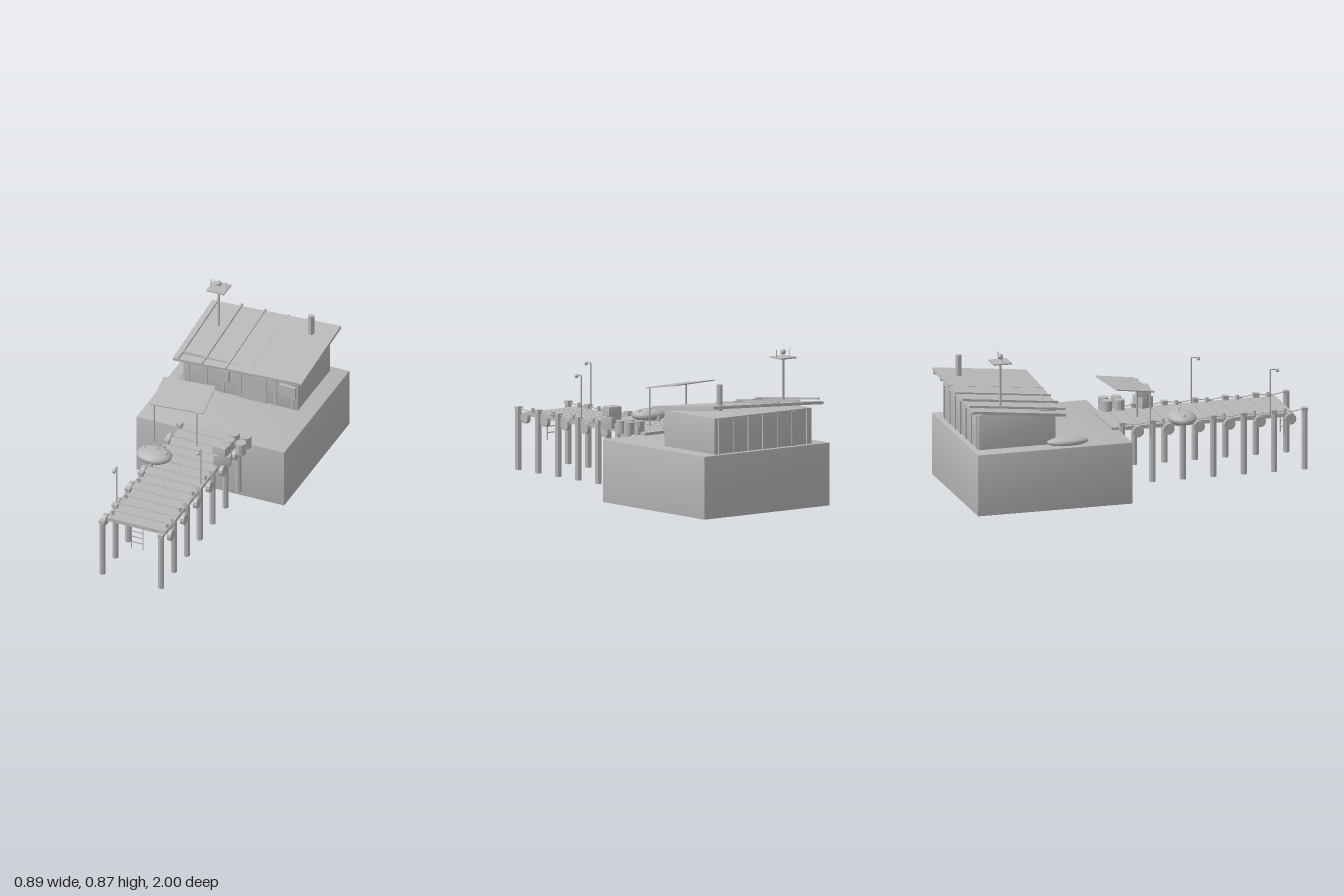
import * as THREE from 'three';

export function createModel() {
  const model = new THREE.Group();
  model.name = 'pierHouse';
  const grey = new THREE.MeshStandardMaterial({ color: 0xb8b8b8 });
  grey.name = 'plain grey';

  function add(name, geo, x, y, z, parent = model) {
    const m = new THREE.Mesh(geo, grey);
    m.name = name;
    m.position.set(x, y, z);
    parent.add(m);
    return m;
  }
  const box = (name, w, h, d, x, y, z, parent) => add(name, new THREE.BoxGeometry(w, h, d), x, y, z, parent);
  // box whose normals lean slightly outwards at the corners, for softly shaded faces
  function softBox(...args) {
    const mesh = box(...args);
    const { position, normal } = mesh.geometry.attributes;
    const n = new THREE.Vector3();
    for (let i = 0; i < normal.count; i++) {
      const corner = new THREE.Vector3().fromBufferAttribute(position, i);
      corner.set(Math.sign(corner.x), Math.sign(corner.y), Math.sign(corner.z));
      n.fromBufferAttribute(normal, i).addScaledVector(corner, 0.15).normalize();
      normal.setXYZ(i, n.x, n.y, n.z);
    }
    return mesh;
  }
  // faceted cylinder
  function prism(r, h, sides) {
    const geo = new THREE.CylinderGeometry(r, r, h, sides).toNonIndexed();
    geo.computeVertexNormals();
    return geo;
  }
  // upright prism standing between two heights
  const post = (name, r, y0, y1, x, z, sides = 8, parent = model) =>
    add(name, prism(r, y1 - y0, sides), x, (y0 + y1) / 2, z, parent);
  const ball = (name, r, x, y, z, parent) => add(name, new THREE.SphereGeometry(r, 14, 10), x, y, z, parent);
  const group = (name) => {
    const g = new THREE.Group();
    g.name = name;
    model.add(g);
    return g;
  };

  // Quay block
  softBox('quay', 0.89, 0.35, 0.89, 0, 0.175, -0.535);

  // House with battens, door and shutters
  const house = group('house');
  softBox('walls', 0.69, 0.2, 0.44, 0, 0.45, -0.725, house);
  for (let i = 0; i < 7; i++) {
    const x = -0.312 + i * 0.104;
    for (const z of [-0.503, -0.947]) box('batten', 0.013, 0.19, 0.01, x, 0.445, z, house);
  }
  box('door', 0.15, 0.16, 0.008, 0.085, 0.43, -0.5, house);
  for (const x of [-0.115, 0.288]) box('shutter', 0.098, 0.07, 0.022, x, 0.47, -0.495, house);

  // Lean-to roof, tilted both ways
  const roof = box('roof', 0.78, 0.016, 0.542, 0, 0.571, -0.725);
  roof.rotation.set(0.105, 0, 0.051);
  for (let i = 0; i < 6; i++) {
    const rib = box('roofRib', 0.01, 0.012, 0.555, -0.35 + i * 0.14, 0.5775, -0.725);
    rib.rotation.x = 0.105;
  }
  box('roofRail', 0.35, 0.01, 0.01, -0.18, 0.551, -0.51);
  post('chimney', 0.017, 0.58, 0.727, 0.258, -0.883).rotation.y = Math.PI / 8;

  // Lookout mast
  const mast = group('mast');
  post('mastPole', 0.007, 0.55, 0.82, -0.262, -0.797, 8, mast);
  box('mastPlatform', 0.105, 0.008, 0.105, -0.262, 0.822, -0.797, mast);
  ball('mastBall', 0.016, -0.262, 0.853, -0.797, mast);
  for (const x of [-0.309, -0.215]) post('mastPin', 0.002, 0.82, 0.868, x, -0.797, 6, mast);

  // Pier deck: beam slab with planks on top
  const deck = group('deck');
  box('deckSlab', 0.352, 0.016, 1.045, 0, 0.352, 0.394, deck);
  const planks = 13;
  const pitch = 1.052 / planks;
  for (let i = 0; i < planks; i++)
    box('plank', 0.356, 0.008, pitch - 0.005, 0, 0.362, -0.132 + (i + 0.5) * pitch, deck);

  // Piles, ropes, fenders and bollards along both sides
  for (const s of [-1, 1]) {
    const side = group(s > 0 ? 'leftPierSide' : 'rightPierSide');
    for (let i = 0; i < 7; i++) {
      const z = 0.982 - i * 0.1755;
      const x = s * 0.177;
      post('pile', 0.018, 0.038, 0.375, x, z, 8, side);
      box('pileCap', 0.032, 0.018, 0.032, x, 0.382, z, side);
      if (i === 6) continue;
      const rope = new THREE.QuadraticBezierCurve3(
        new THREE.Vector3(x, 0.387, z),
        new THREE.Vector3(x, 0.36, z - 0.088),
        new THREE.Vector3(x, 0.387, z - 0.1755));
      add('rope', new THREE.TubeGeometry(rope, 8, 0.003, 5), 0, 0, 0, side);
      const fender = add('fender', prism(0.032, 0.022, 12), s * 0.198, 0.338, z - 0.088, side);
      fender.rotation.z = Math.PI / 2;
      if (i < 5) post('bollard', 0.01, 0.364, 0.392, s * 0.163, z - 0.11, 8, side);
    }
  }

  // Lamps with arms pointing out to the pier end
  for (const [x, z] of [[-0.177, 0.785], [0.175, 0.435]]) {
    const lamp = group('lamp');
    post('lampPole', 0.004, 0.36, 0.625, x, z, 6, lamp);
    box('lampArm', 0.005, 0.005, 0.045, x, 0.623, z + 0.02, lamp);
    ball('lampBulb', 0.011, x, 0.616, z + 0.04, lamp);
  }

  // Canopy on two poles
  const canopy = box('canopy', 0.305, 0.006, 0.232, -0.143, 0.6, -0.043);
  canopy.rotation.set(0.155, 0.1, 0, 'YXZ');
  for (const x of [-0.271, -0.013]) post('canopyPole', 0.005, 0.33, 0.585, x, 0.065);

  // Round float with knobs
  ball('float', 1, -0.177, 0.391, 0.275).scale.set(0.104, 0.037, 0.08);
  for (const [x, y, z] of [[-0.242, 0.417, 0.268], [-0.168, 0.424, 0.257], [-0.11, 0.417, 0.272]])
    ball('floatKnob', 0.012, x, y, z);

  // Upturned boat on the quay
  ball('upturnedBoat', 1, -0.365, 0.366, -0.44).scale.set(0.051, 0.027, 0.12);

  // Barrels
  for (const x of [0.16, 0.23])
    for (const z of [-0.056, 0.015]) post('barrel', 0.03, 0.355, 0.424, x, z, 12);

  // Stacked crates
  softBox('lowerCrate', 0.095, 0.064, 0.07, 0.185, 0.397, 0.158).rotation.y = 0.3;
  softBox('upperCrate', 0.08, 0.055, 0.07, 0.18, 0.456, 0.157).rotation.y = -0.15;

  // Ladder at the pier end
  const ladder = group('ladder');
  for (const x of [-0.036, 0.034]) box('ladderRail', 0.005, 0.16, 0.005, x, 0.28, 0.905, ladder);
  for (const y of [0.24, 0.275, 0.31]) box('ladderRung', 0.07, 0.005, 0.005, -0.001, y, 0.905, ladder);

  return model;
}
